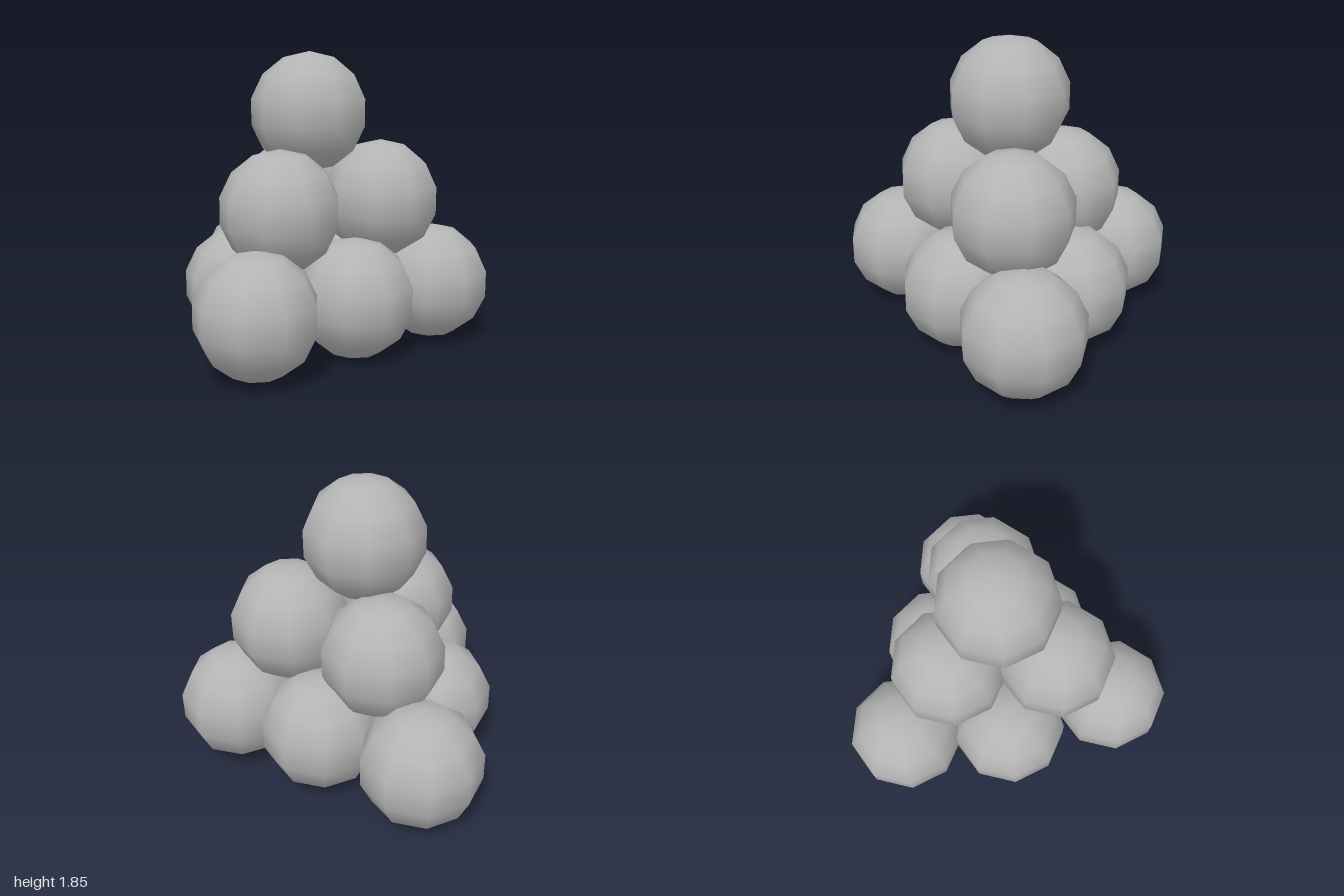
import * as THREE from 'three';

// Pyramid of ten stacked balls: six below, three in the middle, one on top
const RADIUS = 0.371;

const LAYERS = {
  bottomBall: [
    [-0.645, 0.386, -0.479],
    [0.03, 0.386, -0.54],
    [0.645, 0.386, -0.6],
    [-0.34, 0.386, 0.131],
    [0.405, 0.373, -0.004],
    [0.135, 0.386, 0.661],
  ],
  middleBall: [
    [-0.255, 0.886, -0.31],
    [0.39, 0.939, -0.36],
    [0.05, 0.914, 0.281],
  ],
  topBall: [[0.025, 1.484, -0.094]],
};

export function createModel() {
  const model = new THREE.Group();
  model.name = 'ballPyramid';

  const grey = new THREE.MeshStandardMaterial({ color: 0xb4b4b4 });
  grey.name = 'grey';

  // Nine-sided smooth ball with one corner pointing to the back
  const ball = new THREE.SphereGeometry(RADIUS, 9, 7);
  ball.rotateY(-Math.PI / 2);

  for (const [name, centres] of Object.entries(LAYERS)) {
    centres.forEach((centre, i) => {
      const mesh = new THREE.Mesh(ball, grey);
      mesh.name = centres.length > 1 ? `${name}${i + 1}` : name;
      mesh.position.set(...centre);
      model.add(mesh);
    });
  }
  return model;
}
